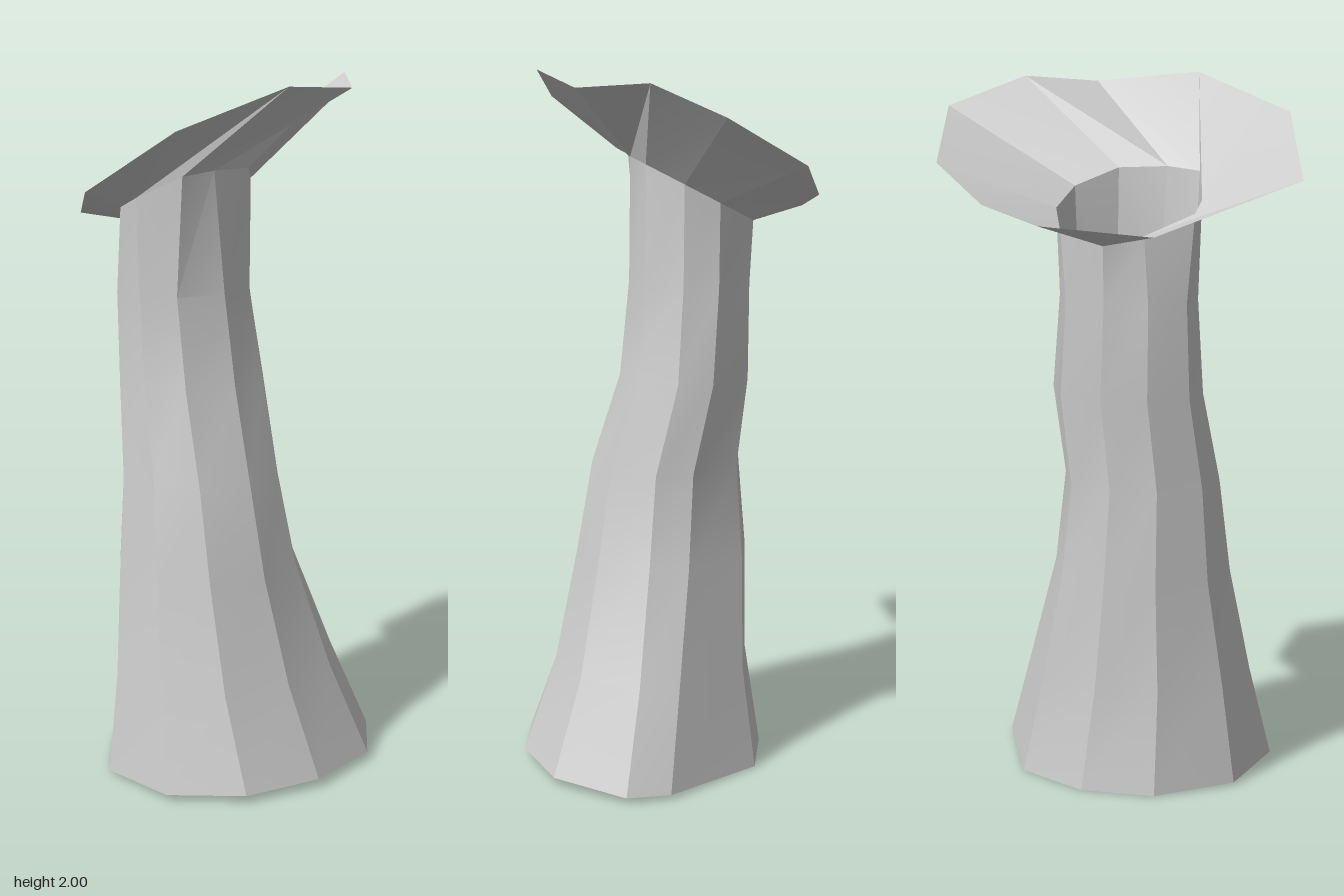
import * as THREE from 'three';
import { toCreasedNormals } from 'three/addons/utils/BufferGeometryUtils.js';

// Ten-sided outlines as [x, z], starting at the front and running towards +x
const BASE = [[-0.09, 0.38], [0.17, 0.39], [0.34, 0.24], [0.4, 0.01], [0.355, -0.24],
  [0.18, -0.42], [0.05, -0.41], [-0.24, -0.22], [-0.31, 0], [-0.27, 0.21]];
const SHAFT = [[-0.17, 0.26], [-0.08, 0.255], [0.015, 0.2], [0.07, 0.07], [0.045, -0.05],
  [-0.045, -0.13], [-0.145, -0.14], [-0.25, -0.07], [-0.28, 0.06], [-0.25, 0.18]];
const NECK = [[-0.14, 0.27], [-0.08, 0.265], [0.045, 0.205], [0.06, 0.1], [0.045, -0.045],
  [-0.045, -0.14], [-0.145, -0.15], [-0.25, -0.085], [-0.295, 0.065], [-0.245, 0.165]];
// Outer lip as [x, y, z]
const LIP = [[0.015, 1.73, 0.525], [0.235, 1.9, 0.4], [0.33, 2, 0.08], [0.275, 1.97, -0.22],
  [0.1, 1.99, -0.37], [-0.07, 1.91, -0.53], [-0.315, 1.77, -0.435], [-0.4, 1.67, -0.25],
  [-0.4, 1.62, -0.08], [-0.35, 1.6, 0.24]];
// Stalk levels between base and neck: y, min x, max x, min z, max z
const LEVELS = [
  [0.29, -0.27, 0.3, -0.32, 0.35],
  [0.6, -0.275, 0.23, -0.21, 0.31],
  [0.87, -0.255, 0.18, -0.165, 0.29],
  [1.13, -0.275, 0.1, -0.175, 0.265],
  [1.4, -0.28, 0.07, -0.14, 0.26],
];

// Scale an outline to the unit square
function unit(outline) {
  const [xs, zs] = [0, 1].map((k) => outline.map((p) => p[k]));
  const fit = (v, list) => (v - Math.min(...list)) / (Math.max(...list) - Math.min(...list));
  return outline.map(([x, z]) => [fit(x, xs), fit(z, zs)]);
}

// Skin a stack of rings, open at both ends
function loft(name, rings, material) {
  const n = rings[0].length;
  const index = [];
  for (let r = 0; r < rings.length - 1; r++) {
    for (let i = 0; i < n; i++) {
      const a = r * n + i;
      const b = r * n + (i + 1) % n;
      index.push(a, b, b + n, a, b + n, a + n);
    }
  }
  const geometry = new THREE.BufferGeometry();
  geometry.setAttribute('position', new THREE.Float32BufferAttribute(rings.flat(2), 3));
  geometry.setIndex(index);
  const mesh = new THREE.Mesh(toCreasedNormals(geometry, 0.3), material);
  mesh.name = name;
  return mesh;
}

export function createModel() {
  const group = new THREE.Group();
  group.name = 'flaredStalk';
  const material = new THREE.MeshStandardMaterial({ color: 0xcccccc, side: THREE.DoubleSide });

  // Slightly tilted base and strongly tilted neck
  const foot = BASE.map(([x, z]) => [x, 0.011 + 0.035 * x, z]);
  const neck = NECK.map(([x, z]) => [x, 1.718 + 0.53 * x, z]);

  // Tapering, leaning stalk: outline blends from base to shaft
  const low = unit(BASE);
  const high = unit(SHAFT);
  const middle = LEVELS.map(([y, x0, x1, z0, z1]) => low.map(([u, v], i) => {
    const t = y / 1.4;
    return [
      THREE.MathUtils.lerp(x0, x1, THREE.MathUtils.lerp(u, high[i][0], t)),
      y,
      THREE.MathUtils.lerp(z0, z1, THREE.MathUtils.lerp(v, high[i][1], t)),
    ];
  }));
  group.add(loft('stalk', [foot, ...middle, neck], material));

  // Wide slanted rim
  group.add(loft('flaredRim', [neck, LIP], material));
  return group;
}
